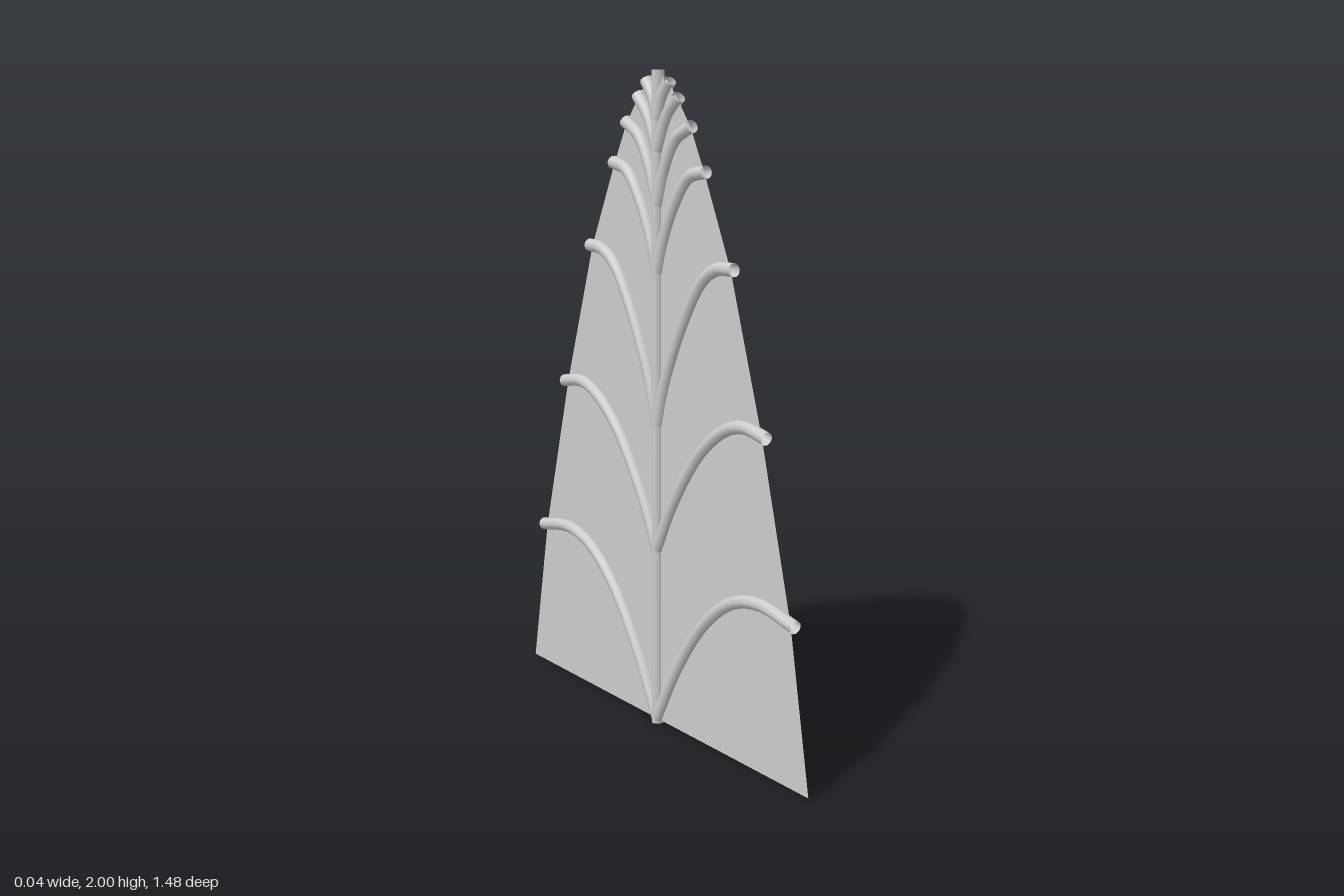
import * as THREE from 'three';

const material = new THREE.MeshStandardMaterial({ color: 0xcccccc, side: THREE.DoubleSide });
const R = 0.02;

// Half outline of the membrane as [z, y]
const outline = [[0.74, 0.01], [0.65, 0.49], [0.51, 1.0], [0.36, 1.45], [0.235, 1.71],
  [0.165, 1.84], [0.1, 1.92], [0.05, 1.97], [0, 1.99]];

// Rib centre lines on one side as [z, y], from the spine to the edge
const ribs = [
  [[0, 0.015], [0.11, 0.21], [0.245, 0.385], [0.38, 0.485], [0.51, 0.515], [0.67, 0.49]],
  [[0, 0.56], [0.085, 0.72], [0.22, 0.9], [0.34, 0.99], [0.43, 1.015], [0.53, 1.0]],
  [[0, 0.95], [0.04, 1.08], [0.14, 1.285], [0.23, 1.41], [0.3, 1.45], [0.375, 1.455]],
  [[0, 1.41], [0.03, 1.5], [0.085, 1.61], [0.16, 1.7], [0.24, 1.72]],
  [[0, 1.61], [0.04, 1.72], [0.095, 1.805], [0.17, 1.845]],
  [[0, 1.77], [0.05, 1.87], [0.105, 1.925]],
  [[0, 1.86], [0.025, 1.925], [0.06, 1.97]],
];

function createRib(points, side) {
  const curve = new THREE.CatmullRomCurve3(points.map(([z, y]) => new THREE.Vector3(0, y, z * side)));
  return new THREE.Mesh(new THREE.TubeGeometry(curve, 24, R, 10), material);
}

export function createModel() {
  const model = new THREE.Group();

  // Thin membrane in the x = 0 plane
  const right = outline.map(([z, y]) => new THREE.Vector2(z, y));
  const left = outline.slice(0, -1).reverse().map(([z, y]) => new THREE.Vector2(-z, y));
  const sheet = new THREE.ShapeGeometry(new THREE.Shape([...right, ...left]));
  sheet.rotateY(-Math.PI / 2);
  const membrane = new THREE.Mesh(sheet, material);
  membrane.name = 'membrane';
  model.add(membrane);

  // Central spine
  const spine = new THREE.Mesh(new THREE.CylinderGeometry(R, R, 2, 10, 1, true), material);
  spine.position.y = 1;
  spine.scale.z = 0.85;
  spine.name = 'spine';
  model.add(spine);

  // Mirrored pairs of arched ribs
  ribs.forEach((points, i) => {
    for (const side of [1, -1]) {
      const rib = createRib(points, side);
      rib.name = `${side > 0 ? 'front' : 'back'}Rib${i + 1}`;
      model.add(rib);
    }
  });
  return model;
}
